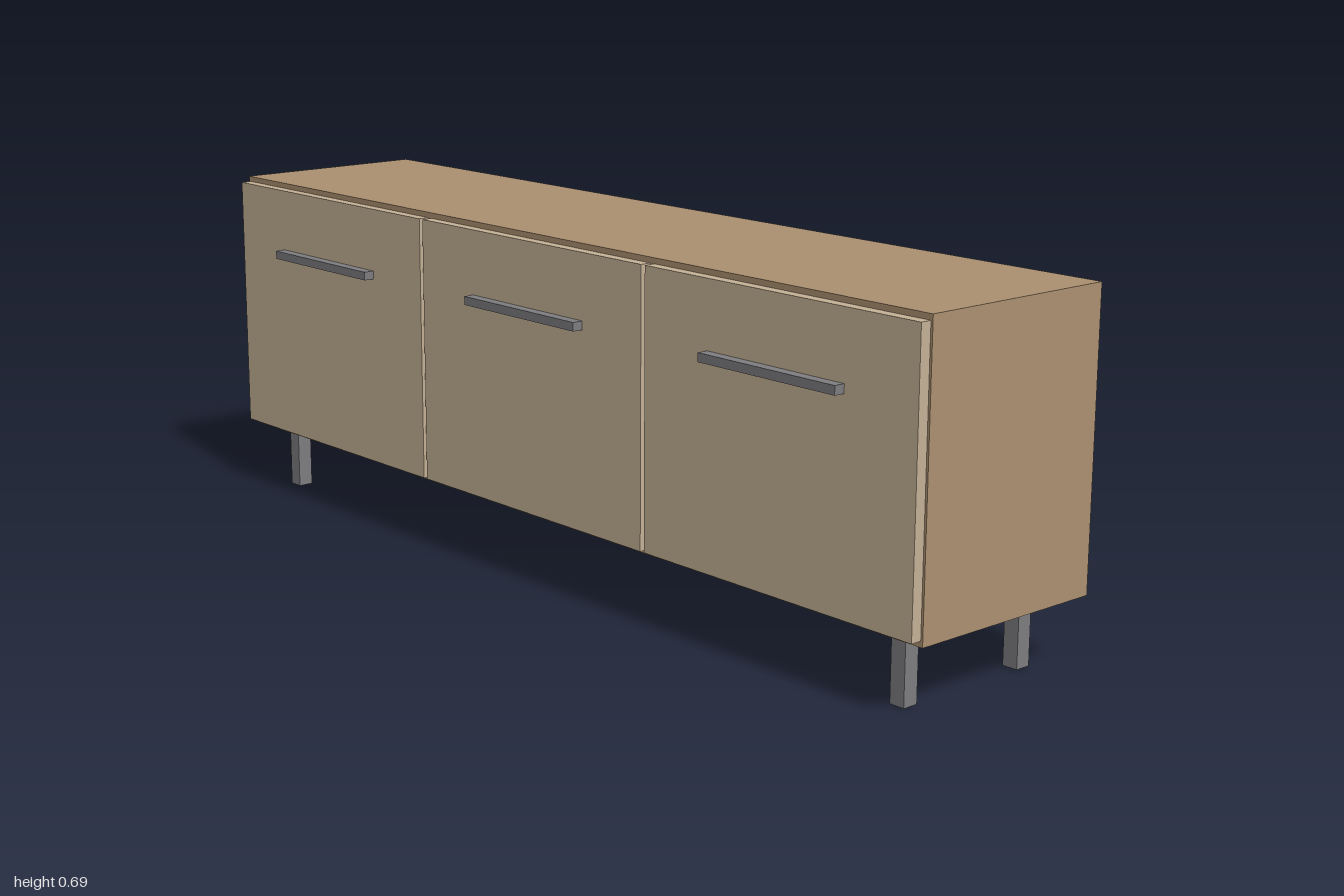
import * as THREE from 'three';

export function createModel() {
  const model = new THREE.Group();
  model.name = 'sideboard';

  const material = (name, color) => {
    const m = new THREE.MeshStandardMaterial({ color });
    m.name = name;
    return m;
  };
  const wood = material('carcass wood', 0xad9171);
  const lightWood = material('door wood', 0xc6b397);
  const metal = material('grey metal', 0x7e7e82);

  // Box given by its centre x, and its y and z extents
  const box = (name, mat, x, width, [y0, y1], [z0, z1]) => {
    const mesh = new THREE.Mesh(new THREE.BoxGeometry(width, y1 - y0, z1 - z0), mat);
    mesh.name = name;
    mesh.position.set(x, (y0 + y1) / 2, (z0 + z1) / 2);
    model.add(mesh);
  };

  // Cabinet body
  box('carcass', wood, 0, 2, [0.135, 0.69], [-0.233, 0.189]);

  // Three doors, each with a bar handle
  ['right', 'middle', 'left'].forEach((side, i) => {
    const x = (i - 1) * 0.667;
    box(`${side}Door`, lightWood, x, 0.657, [0.146, 0.679], [0.189, 0.211]);
    box(`${side}Handle`, metal, x, 0.33, [0.534, 0.551], [0.211, 0.233]);
  });

  // Four square legs
  for (const [side, x] of [['Right', -0.912], ['Left', 0.912]]) {
    box(`front${side}Leg`, metal, x, 0.032, [0, 0.135], [0.118, 0.15]);
    box(`back${side}Leg`, metal, x, 0.032, [0, 0.135], [-0.172, -0.14]);
  }

  return model;
}
